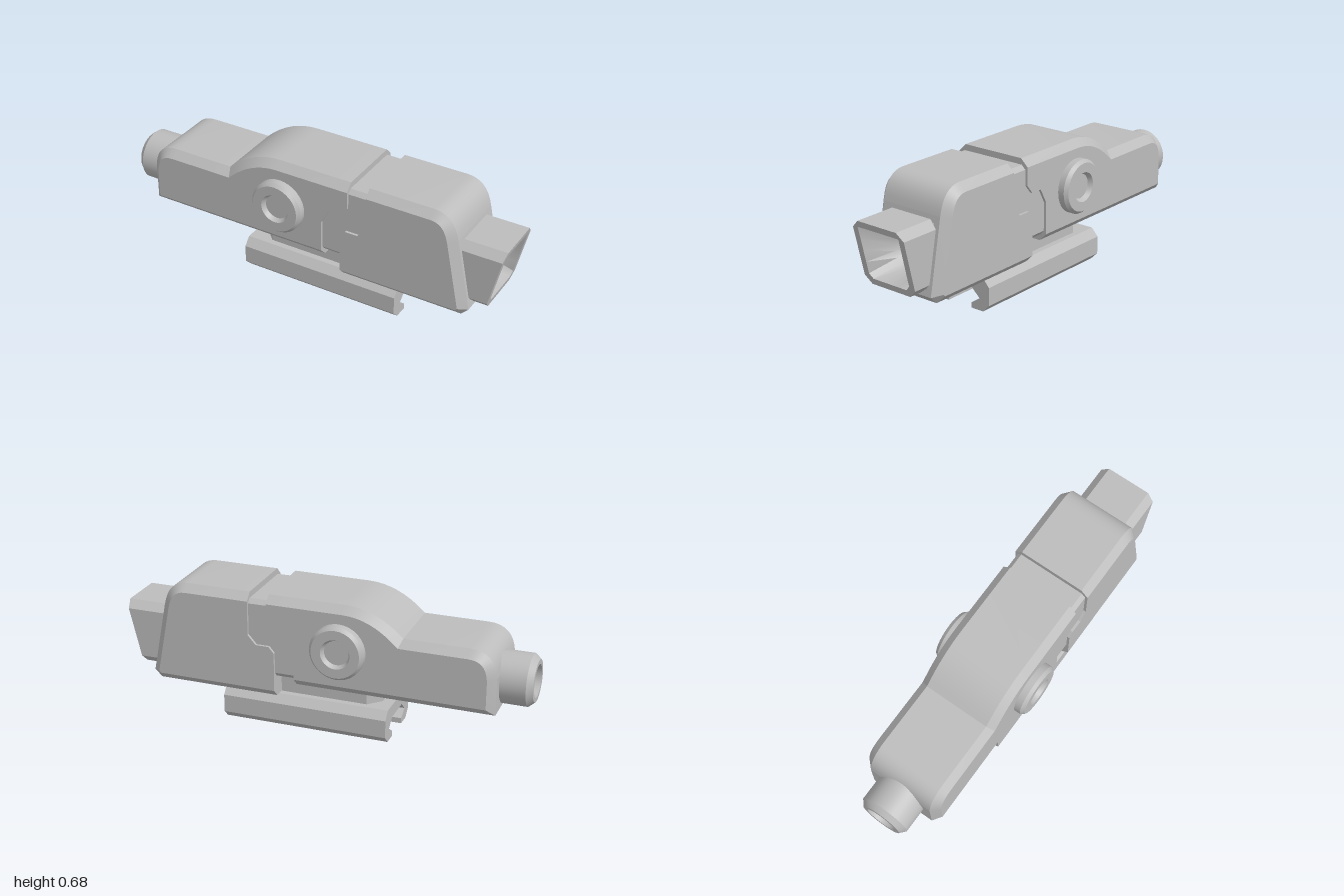
import * as THREE from 'three';
import { toCreasedNormals } from 'three/addons/utils/BufferGeometryUtils.js';

const metal = new THREE.MeshStandardMaterial({ color: 0xbcbcbc });
metal.name = 'light grey metal';

const BORE_Y = 0.365, BORE_R = 0.052;
const BODY_Z = 0.203, BEVEL = 0.037;

function part(name, geometry) {
  const m = new THREE.Mesh(toCreasedNormals(geometry, 0.5), metal);
  m.name = name;
  return m;
}

// Skin between rings of equal point count, optionally capped in the xy plane
function loft(rings, caps = false, skip = () => false) {
  const pos = [];
  const tri = (...pts) => pts.forEach((p) => pos.push(p.x, p.y, p.z));
  for (let k = 0; k < rings.length - 1; k++) {
    const a = rings[k], b = rings[k + 1];
    a.forEach((p, i) => {
      if (skip(k, i)) return;
      const j = (i + 1) % a.length;
      tri(p, a[j], b[j], p, b[j], b[i]);
    });
  }
  if (caps) {
    const first = rings[0], last = rings[rings.length - 1];
    const flat = first.map((p) => new THREE.Vector2(p.x, p.y));
    for (const [i, j, k] of THREE.ShapeUtils.triangulateShape(flat, [])) {
      tri(last[i], last[j], last[k]);
      tri(first[k], first[j], first[i]);
    }
  }
  const g = new THREE.BufferGeometry();
  g.setAttribute('position', new THREE.Float32BufferAttribute(pos, 3));
  return g;
}

function curve(a, c, b, n = 8) {
  const v = (p) => new THREE.Vector2(...p);
  return new THREE.QuadraticBezierCurve(v(a), v(c), v(b)).getPoints(n).map((p) => [p.x, p.y]);
}

// Bevelled shell from a side outline. The third value describes the edge that
// follows: 1 = no bevel, 2 = no bevel and open middle, 3 = bevel and open middle
function shell(outline) {
  const n = outline.length;
  const edges = outline.map(([x, y, flag = 0], i) => {
    const q = outline[(i + 1) % n];
    const dx = q[0] - x, dy = q[1] - y, len = Math.hypot(dx, dy);
    return { nx: -dy / len, ny: dx / len, d: flag === 1 || flag === 2 ? 0 : BEVEL };
  });
  const inset = outline.map(([x, y], i) => {
    const e = edges[(i + n - 1) % n], f = edges[i];
    const det = e.nx * f.ny - e.ny * f.nx;
    if (Math.abs(det) < 0.02) return [x + f.nx * f.d, y + f.ny * f.d];
    return [x + (e.d * f.ny - f.d * e.ny) / det, y + (e.nx * f.d - f.nx * e.d) / det];
  });
  const ring = (pts, z) => pts.map((p) => new THREE.Vector3(p[0], p[1], z));
  const zi = BODY_Z - BEVEL;
  return loft(
    [ring(inset, -BODY_Z), ring(outline, -zi), ring(outline, zi), ring(inset, BODY_Z)],
    true, (k, i) => k === 1 && outline[i][2] >= 2);
}

function polygon(points) {
  return new THREE.Shape(points.map((p) => new THREE.Vector2(...p)));
}

function boreHole(r) {
  return new THREE.Path().absarc(0, BORE_Y, r, 0, Math.PI * 2, true);
}

// End face with an opening, leaning from x0 at y0 to x1 at y1
function endFace(x0, y0, x1, y1, hole, side) {
  const w = BODY_Z - BEVEL;
  const s = polygon([[-w, y0], [w, y0], [w, y1], [-w, y1]]);
  s.holes.push(hole);
  const g = new THREE.ShapeGeometry(s, 24).rotateY(side * Math.PI / 2);
  const p = g.attributes.position;
  for (let i = 0; i < p.count; i++) p.setX(i, x0 + (x1 - x0) * (p.getY(i) - y0) / (y1 - y0));
  return g;
}

// Extrude a (width, height) section along x
function alongX(shape, x0, x1) {
  return new THREE.ExtrudeGeometry(shape, { depth: x1 - x0, bevelEnabled: false, curveSegments: 24 })
    .rotateY(Math.PI / 2).translate(x0, 0, 0);
}

// Twenty-point chamfered rectangle and matching circle, across the x axis
function rectRing(hw, y0, y1, cTop, cBot, xAt) {
  const c = [[hw, y0 + cBot], [hw, y1 - cTop], [hw - cTop, y1], [cTop - hw, y1],
    [-hw, y1 - cTop], [-hw, y0 + cBot], [cBot - hw, y0], [hw - cBot, y0]];
  const out = [];
  c.forEach((a, i) => {
    const b = c[(i + 1) % 8], n = i % 2 ? 1 : 4;
    for (let k = 0; k < n; k++) {
      const u = a[0] + (b[0] - a[0]) * k / n, y = a[1] + (b[1] - a[1]) * k / n;
      out.push(new THREE.Vector3(xAt(y), y, -u));
    }
  });
  return out;
}

function circleRing(r, x) {
  return Array.from({ length: 20 }, (_, i) => {
    const t = (i * 18 - 36) * Math.PI / 180;
    return new THREE.Vector3(x, BORE_Y + r * Math.sin(t), -r * Math.cos(t));
  });
}

function lathe(profile) {
  return new THREE.LatheGeometry(profile.map((p) => new THREE.Vector2(...p)), 32);
}

export function createModel() {
  const g = new THREE.Group();
  g.name = 'railDevice';

  // Rear housing with raised hump
  g.add(part('rearHousing', shell([
    [-0.85, 0.24], [0.11, 0.24, 1], [0.11, 0.3, 2], [0.11, 0.435, 2], [0.15, 0.508, 2],
    [0.21, 0.508, 2], [0.245, 0.55, 1], [0.245, 0.675],
    ...curve([-0.13, 0.675], [-0.28, 0.675], [-0.41, 0.55]),
    ...curve([-0.72, 0.55], [-0.84, 0.55], [-0.85, 0.42]).slice(0, -1),
    [-0.85, 0.42, 3],
  ])));
  g.add(part('rearFace', endFace(-0.85, 0.24, -0.85, 0.42, boreHole(0.06), -1)));

  // Front housing with sloping nose
  g.add(part('frontHousing', shell([
    [0.21, 0.165], [0.82, 0.165], [0.855, 0.2, 3],
    ...curve([0.785, 0.55], [0.76, 0.675], [0.66, 0.675]),
    [0.34, 0.675, 1], [0.34, 0.47, 2], [0.3, 0.425, 2], [0.235, 0.425, 2],
    [0.21, 0.395, 2], [0.21, 0.3, 1],
  ])));
  const hoodHole = new THREE.Path([[-0.135, 0.23], [-0.135, 0.515], [0.135, 0.515], [0.135, 0.23]]
    .map((p) => new THREE.Vector2(...p)));
  g.add(part('frontFace', endFace(0.855, 0.2, 0.785, 0.55, hoodHole, 1)));

  // Inner core showing in the gap between the housings
  const core = polygon([[-0.17, 0.27], [0.17, 0.27], [0.19, 0.292], [0.19, 0.625],
    [0.17, 0.645], [-0.17, 0.645], [-0.19, 0.625], [-0.19, 0.292]]);
  core.holes.push(boreHole(0.06));
  g.add(part('core', alongX(core, 0.04, 0.4)));

  // Hood, square funnel and through bore
  const tip = (y) => 0.925 + (y - 0.215) / 0.315 * 0.075;
  g.add(part('hoodAndBore', loft([
    rectRing(0.15, 0.215, 0.53, 0.037, 0.037, () => 0.78),
    rectRing(0.15, 0.215, 0.53, 0.037, 0.037, tip),
    rectRing(0.12, 0.245, 0.5, 0.002, 0.022, tip),
    circleRing(0.1, 0.8),
    circleRing(BORE_R, 0.7),
    circleRing(BORE_R, -0.87),
  ])));

  // Rear tube
  const tube = part('rearTube', lathe([[0.124, 0.76], [0.124, 0.972], [0.1, 1],
    [0.078, 1], [0.078, 0.87], [BORE_R, 0.87]]));
  tube.rotation.z = Math.PI / 2;
  tube.position.y = BORE_Y;
  g.add(tube);

  // Round side caps with a recess
  const cap = lathe([[0.132, 0.19], [0.132, 0.235], [0.118, 0.252], [0.072, 0.252],
    [0.06, 0.23], [0, 0.23]]);
  for (const s of [1, -1]) {
    const m = part(s > 0 ? 'frontSideCap' : 'backSideCap', cap);
    m.rotation.x = s * Math.PI / 2;
    m.position.set(-0.112, 0.459, 0);
    g.add(m);
  }

  // Riser with clipped rear corners
  const riser = polygon([[-0.28, -0.05], [-0.22, -0.11], [0.25, -0.11], [0.25, 0.11],
    [-0.22, 0.11], [-0.28, 0.05]]);
  g.add(part('riser', new THREE.ExtrudeGeometry(riser, { depth: 0.13, bevelEnabled: false })
    .rotateX(-Math.PI / 2).translate(0, 0.15, 0)));

  // Rail clamp
  const half = [[0.073, 0.102], [0.118, 0.06], [0.07, 0.027], [0.07, 0], [0.138, 0],
    [0.175, 0.037], [0.175, 0.125], [0.14, 0.164]];
  const clamp = polygon([...half, ...half.map(([u, y]) => [-u, y]).reverse()]);
  g.add(part('railClamp', alongX(clamp, -0.335, 0.485)));

  return g;
}
